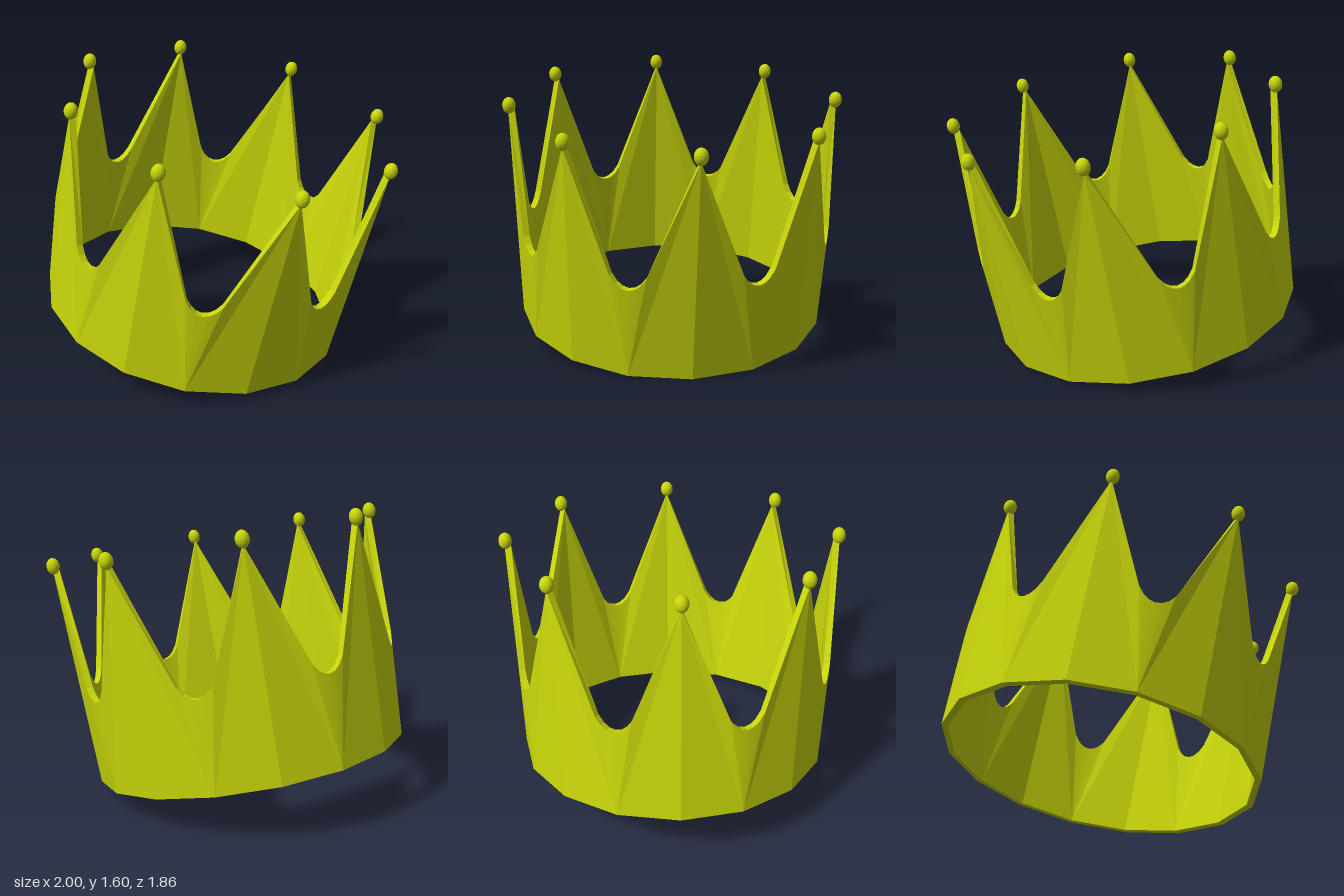
import * as THREE from 'three';

const SPIKES = 8;
const STEP = Math.PI * 2 / SPIKES;
const WALL = 0.035;
const TIP = 1.19;

// Half a spike's rim: degrees from the spike's centre line, height
const RIM = [[0, TIP], [16.3, 0.565], [18.3, 0.525], [20.3, 0.503], [22.5, 0.495]];

// Wall radius grows slightly with height
const radius = (h) => 0.853 + 0.045 * h / TIP;

function bandGeometry() {
  const pos = [];
  const point = (angle, h, inset) => {
    const r = radius(h) - inset;
    return [r * Math.cos(angle), h, -r * Math.sin(angle)];
  };
  const tri = (a, b, c, flip) => pos.push(...a, ...(flip ? c : b), ...(flip ? b : c));
  const quad = (a, b, c, d, flip) => { tri(a, b, c, flip); tri(a, c, d, flip); };

  for (let i = 0; i < SPIKES; i++) {
    for (const side of [1, -1]) {
      const flip = side < 0;
      const at = (deg, h, inset) => point(i * STEP + side * THREE.MathUtils.degToRad(deg), h, inset);

      // Outer and inner faces: a wedge under the tip, then a fan to the valley
      for (const inset of [0, WALL]) {
        const turn = flip !== (inset > 0);
        const foot = at(22.5, 0, inset);
        tri(at(0, 0, inset), foot, at(0, TIP, inset), turn);
        for (let k = 0; k < RIM.length - 1; k++) {
          tri(foot, at(...RIM[k + 1], inset), at(...RIM[k], inset), turn);
        }
      }
      // Rim along the spike edge and valley
      for (let k = 0; k < RIM.length - 1; k++) {
        quad(at(...RIM[k], 0), at(...RIM[k + 1], 0), at(...RIM[k + 1], WALL), at(...RIM[k], WALL), flip);
      }
      // Underside
      quad(at(0, 0, 0), at(0, 0, WALL), at(22.5, 0, WALL), at(22.5, 0, 0), flip);
    }
  }
  const geo = new THREE.BufferGeometry();
  geo.setAttribute('position', new THREE.Float32BufferAttribute(pos, 3));
  geo.computeVertexNormals();
  return geo;
}

export function createModel() {
  const model = new THREE.Group();
  model.name = 'crownModel';
  const gold = new THREE.MeshStandardMaterial({ color: 0xc8d60a, flatShading: true });

  // Whole crown leans to one side and is turned a little on its axis
  const crown = new THREE.Group();
  crown.name = 'crown';
  crown.rotation.set(0, THREE.MathUtils.degToRad(2), THREE.MathUtils.degToRad(-12.2), 'ZYX');
  crown.position.set(-0.17, 0.18, 0);
  model.add(crown);

  const band = new THREE.Mesh(bandGeometry(), gold);
  band.name = 'spikedBand';
  crown.add(band);

  // Bead on every tip
  const beadGeo = new THREE.IcosahedronGeometry(1, 2).scale(0.036, 0.045, 0.036);
  for (let i = 0; i < SPIKES; i++) {
    const bead = new THREE.Mesh(beadGeo, gold);
    bead.name = 'tipBead' + (i + 1);
    const r = radius(TIP) - 0.005;
    bead.position.set(r * Math.cos(i * STEP), 1.217, -r * Math.sin(i * STEP));
    crown.add(bead);
  }
  return model;
}
